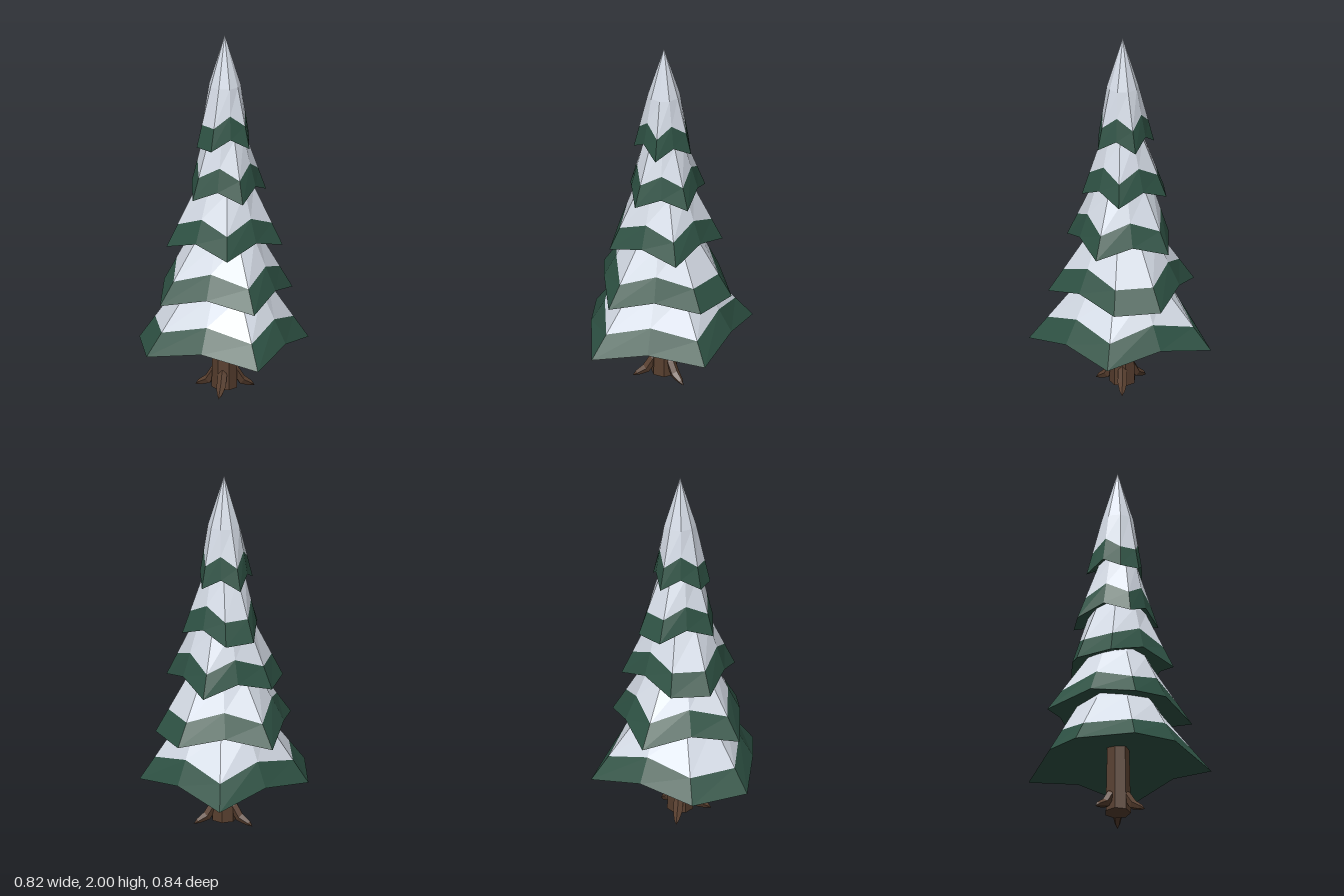
import * as THREE from 'three';

const V = (x, y, z) => new THREE.Vector3(x, y, z);
const AXIS_X = 0.015;

const flat = (name, color) => {
  const m = new THREE.MeshStandardMaterial({ color, flatShading: true });
  m.name = name;
  return m;
};

// Skin a list of equal-length closed rings, ordered along the part's axis.
function loft(rings) {
  const pos = [];
  const tri = (a, b, c) => {
    const area = b.clone().sub(a).cross(c.clone().sub(a)).length();
    if (area > 1e-9) [a, b, c].forEach(p => pos.push(p.x, p.y, p.z));
  };
  for (let k = 0; k < rings.length - 1; k++) {
    const lo = rings[k], hi = rings[k + 1], n = lo.length;
    for (let i = 0; i < n; i++) {
      const j = (i + 1) % n;
      tri(lo[j], lo[i], hi[i]);
      tri(lo[j], hi[i], hi[j]);
    }
  }
  const g = new THREE.BufferGeometry();
  g.setAttribute('position', new THREE.Float32BufferAttribute(pos, 3));
  g.computeVertexNormals();
  return g;
}

// Each tier: height of the low corners, shoulder radius, five corners (x, z).
// The last and first corners are neighbours; the other gaps hold a raised midpoint.
const TIERS = [
  [0.27, 0.23, [[-0.41, 0.17], [-0.25, -0.42], [0.35, -0.30], [0.41, 0.30], [-0.21, 0.42]]],
  [0.55, 0.18, [[0.275, -0.26], [0.34, 0.225], [-0.16, 0.365], [-0.375, -0.11], [0.05, -0.375]]],
  [0.83, 0.155, [[-0.28, 0.02], [-0.06, -0.30], [0.295, -0.13], [0.19, 0.255], [-0.21, 0.22]]],
  [1.11, 0.11, [[-0.13, -0.19], [0.17, -0.165], [0.2, 0.115], [-0.06, 0.2], [-0.215, -0.055]]],
  [1.39, 0.085, [[-0.075, 0.135], [-0.14, -0.07], [0.05, -0.155], [0.175, 0.01], [0.03, 0.16]]],
];

function makeTier([y, shoulderR, corners], needles, snow) {
  const rim = [];
  corners.forEach(([x, z], i) => {
    rim.push(V(x, y, z));
    if (i < 4) {
      const [x2, z2] = corners[i + 1];
      rim.push(V((x + x2) * 0.52, y + 0.06, (z + z2) * 0.52));
    }
  });
  const shoulder = rim.map(p => {
    const s = shoulderR / Math.hypot(p.x, p.z);
    return V(AXIS_X + p.x * s, y + 0.33, p.z * s);
  });
  const snowLine = rim.map((p, i) => p.clone().lerp(shoulder[i], i % 2 ? 0.47 : 0.37));
  const point = h => rim.map(() => V(AXIS_X, y + h, 0));

  const tier = new THREE.Group();
  const add = (name, rings, mat) => {
    const m = new THREE.Mesh(loft(rings), mat);
    m.name = name;
    tier.add(m);
  };
  add('needleBand', [rim, snowLine], needles);
  add('snowCap', [snowLine, shoulder, point(0.61)], snow);
  add('underside', [point(0.13), rim], needles);
  return tier;
}

// Root: tapered five-sided limb from the trunk down to a tip at (x, z).
function makeRoot(x, z, bark) {
  const dir = V(x - AXIS_X, 0, z), reach = dir.length();
  dir.normalize();
  const side = V(-dir.z, 0, dir.x);
  const up = V(dir.x * 0.6, 0.8, dir.z * 0.6);
  const sections = [ // distance out, height, radius
    [0.035, 0.15, 0], [0.06, 0.1, 0.026], [0.095, 0.045, 0.026],
    [reach - 0.025, 0.02, 0.015], [reach, 0.005, 0],
  ];
  const rings = sections.map(([d, y, r]) => Array.from({ length: 5 }, (_, i) => {
    const a = Math.PI / 2 + i * Math.PI * 2 / 5;
    return V(AXIS_X, y, 0).addScaledVector(dir, d)
      .addScaledVector(side, Math.cos(a) * r).addScaledVector(up, Math.sin(a) * r);
  }));
  const root = new THREE.Mesh(loft(rings), bark);
  root.name = 'root';
  return root;
}

export function createModel() {
  const needles = flat('needleGreen', 0x2f5345);
  const snow = flat('snowWhite', 0xe0e7f2);
  const bark = flat('barkBrown', 0x583f2f);

  const tree = new THREE.Group();
  tree.name = 'snowyPineTree';

  // Trunk
  const trunk = new THREE.Mesh(new THREE.CylinderGeometry(0.06, 0.07, 0.46, 7), bark);
  trunk.name = 'trunk';
  trunk.position.set(AXIS_X, 0.25, 0);
  tree.add(trunk);

  // Roots
  [[0.12, -0.13], [0.075, 0.155], [-0.155, 0.02]].forEach(([x, z]) => tree.add(makeRoot(x, z, bark)));

  // Branch tiers, bottom to top
  TIERS.forEach((t, i) => {
    const tier = makeTier(t, needles, snow);
    tier.name = `branchTier${i + 1}`;
    tree.add(tier);
  });
  return tree;
}
